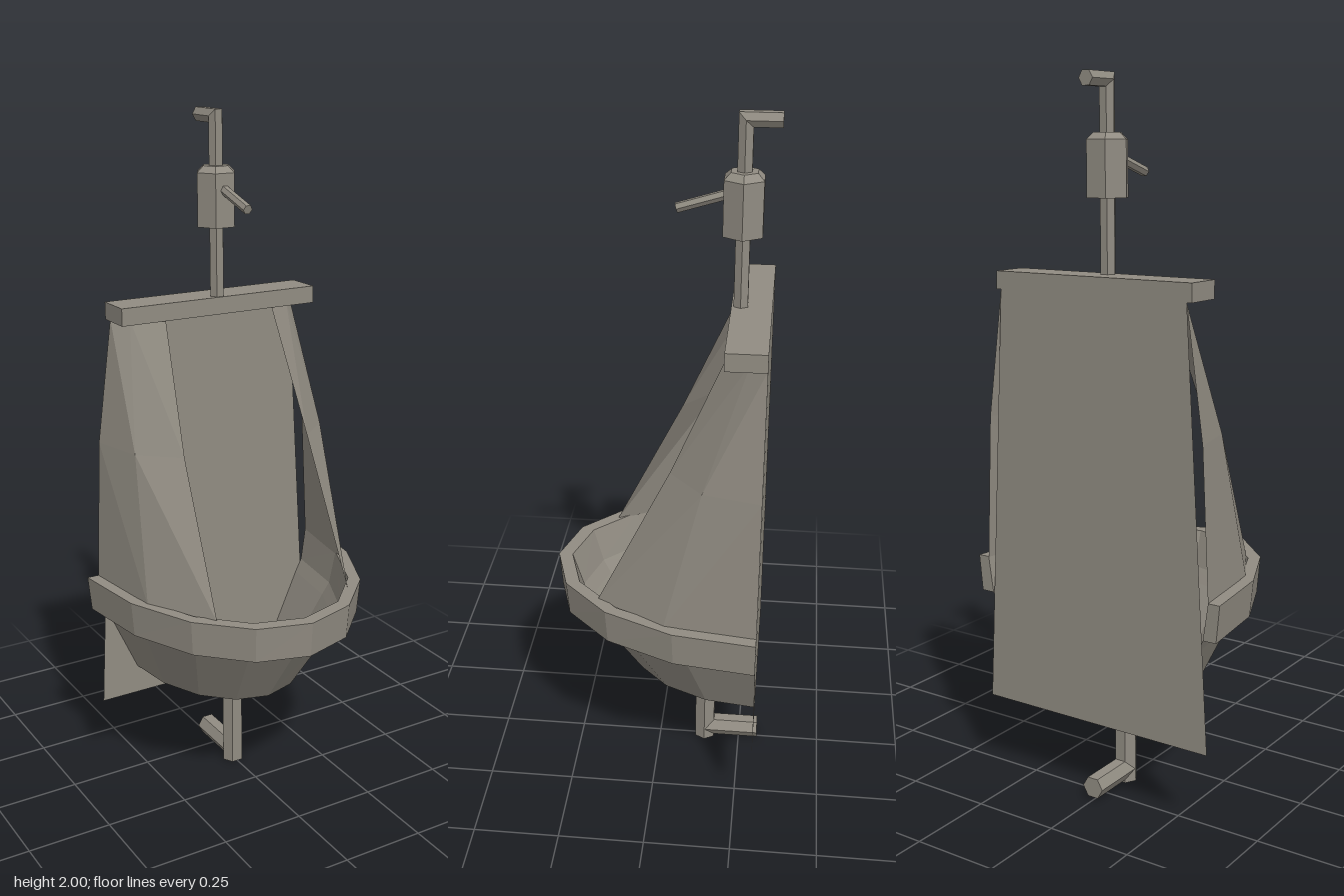
import * as THREE from 'three';

const BACK = -0.3; // plane of the wall

// Facet a geometry so every face is flat
function facet(geometry) {
  const g = geometry.index ? geometry.toNonIndexed() : geometry;
  g.computeVertexNormals();
  return g;
}

// Skin a list of cross-sections, each a list of [x, y, z] points
function loft(rows, closed = false) {
  const n = rows[0].length;
  const index = [];
  for (let i = 0; i < rows.length - 1; i++) {
    for (let j = 0; j < (closed ? n : n - 1); j++) {
      const k = (j + 1) % n;
      const a = i * n + j, b = i * n + k, c = (i + 1) * n + k, d = (i + 1) * n + j;
      index.push(a, b, c, a, c, d);
    }
  }
  const g = new THREE.BufferGeometry();
  g.setAttribute('position', new THREE.Float32BufferAttribute(rows.flat(2), 3));
  g.setIndex(index);
  return facet(g);
}

// Point on a half ellipse that bulges forward from the wall
function arc(t, [w, d, y]) {
  return [w * Math.cos(t), y, BACK + d * Math.sin(t)];
}

// Hexagonal rod between two points, corners to the sides
function rod(from, to, r) {
  const a = new THREE.Vector3(...from), b = new THREE.Vector3(...to);
  const dir = b.clone().sub(a);
  const g = new THREE.CylinderGeometry(r, r, dir.length(), 6);
  g.rotateY(Math.PI / 6);
  g.applyQuaternion(new THREE.Quaternion().setFromUnitVectors(new THREE.Vector3(0, 1, 0), dir.normalize()));
  g.translate(...a.add(b).multiplyScalar(0.5).toArray());
  return facet(g);
}

export function createModel() {
  const group = new THREE.Group();
  const porcelain = new THREE.MeshStandardMaterial({ color: 0x918c82, side: THREE.DoubleSide });
  porcelain.name = 'warm grey';

  const add = (name, geometry) => {
    const mesh = new THREE.Mesh(geometry, porcelain);
    mesh.name = name;
    group.add(mesh);
    return mesh;
  };

  const angles = Array.from({ length: 9 }, (_, i) => (i * Math.PI) / 8);

  // Flat panel against the wall
  const panel = new THREE.Shape([
    new THREE.Vector2(-0.37, 0.23), new THREE.Vector2(0.37, 0.23),
    new THREE.Vector2(0.3, 1.43), new THREE.Vector2(-0.3, 1.43),
  ]);
  add('backPanel', facet(new THREE.ShapeGeometry(panel).translate(0, 0, BACK)));

  // Bowl: half-ellipse rings, [half width, depth, height]
  const bowlRings = [
    [0.37, 0.567, 0.65], [0.355, 0.535, 0.55], [0.335, 0.51, 0.51],
    [0.25, 0.375, 0.32], [0.1, 0.12, 0.23], [0, 0, 0.23],
  ];
  add('bowl', loft(bowlRings.map((ring) => angles.map((t) => arc(t, ring)))));

  // Thick rim around the bowl, with closed ends at the wall
  const rimSection = [[0.37, 0.567, 0.655], [0.405, 0.608, 0.655], [0.395, 0.6, 0.55], [0.355, 0.535, 0.55]];
  const rimRows = angles.map((t) => rimSection.map((p) => arc(t, p)));
  const end = (s) => rimSection.map(() => [s * 0.38, 0.6, BACK]);
  add('rim', loft([end(1), ...rimRows, end(-1)], true));

  // Side shields, rows from rim to top, each from front edge to wall
  const shieldRows = [
    [[0.22, 0.65, 0.16], [0.335, 0.65, -0.04], [0.37, 0.65, BACK]],
    [[0.205, 1.07, -0.045], [0.312, 1.07, -0.14], [0.35, 1.07, BACK]],
    [[0.175, 1.43, -0.2], [0.26, 1.43, -0.255], [0.3, 1.43, BACK]],
  ];
  for (const [name, s] of [['leftShield', 1], ['rightShield', -1]]) {
    add(name, loft(shieldRows.map((row) => row.map(([x, y, z]) => [s * x, y, z]))));
  }

  // Ledge on top
  add('topLedge', new THREE.BoxGeometry(0.63, 0.05, 0.11).translate(0, 1.455, -0.245));

  // Supply pipe with a mitred bend back to the wall
  const pipeZ = -0.215, pipeR = 0.022, bendY = 1.981;
  const ring = (place) => Array.from({ length: 6 }, (_, i) => {
    const a = (i * Math.PI) / 3;
    return place(pipeR * Math.cos(a), pipeR * Math.sin(a));
  });
  add('supplyPipe', loft([
    ring((u, v) => [u, 1.47, pipeZ + v]),
    ring((u, v) => [u, bendY + v, pipeZ + v]),
    ring((u, v) => [u, bendY + v, -0.308]),
    ring(() => [0, bendY, -0.308]),
  ], true));

  // Flush valve with a chamfered cap, and its lever
  add('valveBody', rod([0, 1.68, pipeZ], [0, 1.83, pipeZ], 0.06));
  add('valveCap', facet(new THREE.CylinderGeometry(0.04, 0.06, 0.018, 6)
    .rotateY(Math.PI / 6).translate(0, 1.839, pipeZ)));
  add('lever', rod([0, 1.785, -0.17], [0, 1.745, -0.04], 0.014));

  // Drain pipe and its outlet to the wall
  add('drainPipe', rod([0, 0, -0.142], [0, 0.235, -0.142], 0.034));
  add('drainOutlet', rod([0, 0.038, -0.142], [0, 0.038, -0.308], 0.033));

  return group;
}
